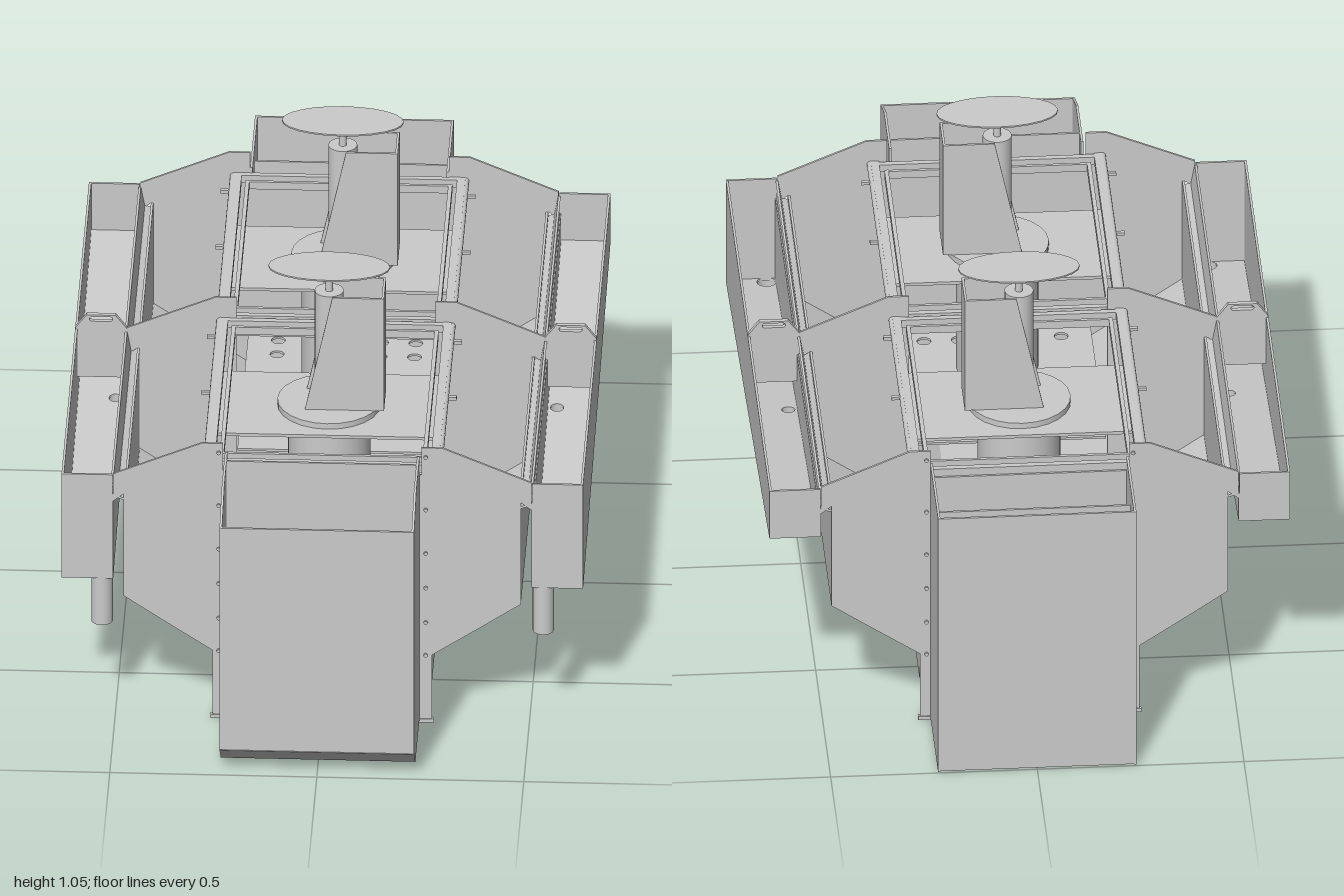
import * as THREE from 'three';

const mat = new THREE.MeshStandardMaterial({ color: 0xcccccc, side: THREE.DoubleSide });
const T = 0.006; // sheet thickness

function add(parent, name, geo, x = 0, y = 0, z = 0) {
  const m = new THREE.Mesh(geo, mat);
  m.name = name;
  m.position.set(x, y, z);
  parent.add(m);
  return m;
}
const box = (p, n, w, h, d, x, y, z) => add(p, n, new THREE.BoxGeometry(w, h, d), x, y, z);
const rod = (p, n, r, y0, y1, x, z, open = false) =>
  add(p, n, new THREE.CylinderGeometry(r, r, y1 - y0, 24, 1, open), x, (y0 + y1) / 2, z);

const shapeOf = (pts) => new THREE.Shape(pts.map(([a, b]) => new THREE.Vector2(a, b)));
const mirrored = (half) => [...half, ...half.slice().reverse().map(([x, y]) => [-x, y])];
const disc = (x, y, r) => new THREE.Path().absarc(x, y, r, 0, Math.PI * 2, true);

// Flat plate facing z, centred on its thickness
function plateZ(shape, t = T) {
  return new THREE.ExtrudeGeometry(shape, { depth: t, bevelEnabled: false, curveSegments: 10 }).translate(0, 0, -t / 2);
}
// Flat plate facing x, outlined by [z, y] points
const plateX = (pts) => plateZ(shapeOf(pts)).rotateY(-Math.PI / 2);
// Flat plate facing up, shape drawn in [x, -z]
const plateY = (shape) => plateZ(shape).rotateX(-Math.PI / 2);

// Folded sheet running along z, following [x, y] points
function foldZ(parent, name, path, z0, z1) {
  for (let i = 0; i + 1 < path.length; i++) {
    const [a, b] = path[i], [c, d] = path[i + 1];
    const m = box(parent, name, Math.hypot(c - a, d - b), T, z1 - z0, (a + c) / 2, (b + d) / 2, (z0 + z1) / 2);
    m.rotation.z = Math.atan2(d - b, c - a);
  }
}
// Folded sheet running across x, following [z, y] points
function foldX(parent, name, path, w) {
  for (let i = 0; i + 1 < path.length; i++) {
    const [a, b] = path[i], [c, d] = path[i + 1];
    const m = box(parent, name, w, T, Math.hypot(c - a, d - b), 0, (b + d) / 2, (a + c) / 2);
    m.rotation.x = -Math.atan2(d - b, c - a);
  }
}

const Z0 = -0.745, ZM = -0.02, Z1 = 0.71;

function buildTank() {
  const g = new THREE.Group();
  g.name = 'tank';
  const upper = [[0.24, 0.68], [0.24, 0.755], [0.29, 0.755], [0.505, 0.665], [0.505, 0.59], [0.48, 0.61], [0.48, 0.33]];
  // End plates with legs
  for (const z of [Z0, Z1])
    add(g, 'endPlate', plateZ(shapeOf(mirrored([...upper, [0.38, 0.262], [0.265, 0.185], [0.265, 0.005]]))), 0, 0, z);
  // Middle frame, open between the two cells
  const mid = shapeOf(mirrored([...upper, [0.14, 0.085]]));
  mid.holes.push(shapeOf(mirrored([[0.24, 0.65], [0.24, 0.24], [0.12, 0.15]])));
  add(g, 'middleFrame', plateZ(mid), 0, 0, ZM);
  // Hull: walls, sloping bottom and flat floor
  foldZ(g, 'hull', mirrored([[0.477, 0.61], [0.477, 0.333], [0.14, 0.105]]), Z0, Z1);
  for (const s of [1, -1]) {
    foldZ(g, 'overflowLip', [[s * 0.48, 0.595], [s * 0.508, 0.605]], Z0, Z1);
    // Support skirts under each cell
    for (const zc of [0.348, -0.38])
      add(g, 'skirt', plateX([[zc - 0.34, 0.18], [zc + 0.34, 0.18], [zc + 0.315, 0.085], [zc - 0.315, 0.085]]), s * 0.26);
    // Flange bolts
    for (const z of [Z0 - 0.004, Z1 + 0.004])
      for (const y of [0.73, 0.585, 0.465, 0.37, 0.275, 0.185])
        add(g, 'bolt', new THREE.CylinderGeometry(0.005, 0.005, 0.008, 8).rotateX(Math.PI / 2), s * 0.25, y, z);
  }
  for (const z of [Z0, Z1]) box(g, 'foot', 0.54, 0.01, 0.012, 0, 0.005, z);
  return g;
}

function buildLaunder(s) {
  const g = new THREE.Group();
  g.name = s > 0 ? 'leftLaunder' : 'rightLaunder';
  const floorY = (z) => 0.378 + (0.71 - z) * 0.104;
  const side = [[-0.75, 0.66], [0.71, 0.66], [0.71, 0.375], [-0.75, 0.527]];
  add(g, 'outerWall', plateX(side), s * 0.627);
  add(g, 'innerWall', plateX(side.map(([z, y]) => [z, Math.min(y, 0.605)])), s * 0.508);
  // Sloping floor with drain openings
  const floor = shapeOf([[-0.06, -0.71], [0.06, -0.71], [0.06, 0.75], [-0.06, 0.75]]);
  const drains = [[0.683, 0.026, 0.245], [-0.04, 0.018, 0.315]];
  for (const [z, r] of drains) floor.holes.push(disc(-s * 0.034, -z, r - 0.002));
  const floorGeo = plateY(floor);
  const p = floorGeo.attributes.position;
  for (let i = 0; i < p.count; i++) p.setY(i, p.getY(i) + floorY(p.getZ(i)));
  floorGeo.computeVertexNormals();
  add(g, 'launderFloor', floorGeo, s * 0.567);
  for (const [z, r, y] of drains) rod(g, 'drainPipe', r, y, floorY(z), s * 0.533, z, true);
  box(g, 'frontCap', 0.12, 0.285, T, s * 0.567, 0.518, 0.707);
  box(g, 'backCap', 0.12, 0.13, T, s * 0.567, 0.595, -0.747);
  // Weir boards above the inner wall
  for (const [a, b] of [[-0.74, -0.025], [-0.015, 0.705]])
    foldZ(g, 'weirBoard', [[s * 0.497, 0.6], [s * 0.507, 0.655]], a, b);
  // Lifting lug with a slot
  const lug = shapeOf([[-0.062, 0.53], [0.062, 0.53], [0.062, 0.665], [0.035, 0.7], [-0.035, 0.7], [-0.062, 0.665]]);
  const slot = new THREE.Path();
  slot.absarc(0.022, 0.689, 0.006, -Math.PI / 2, Math.PI / 2, false);
  slot.absarc(-0.022, 0.689, 0.006, Math.PI / 2, Math.PI * 1.5, false);
  lug.holes.push(slot);
  add(g, 'liftingLug', plateZ(lug, 0.012), s * 0.567, 0, ZM);
  return g;
}

function buildEndBox(name, sidePts, wallPath, w, partZ, partTop, holeZ) {
  const g = new THREE.Group();
  g.name = name;
  for (const s of [1, -1]) add(g, 'boxSide', plateX(sidePts), s * (w / 2 - T / 2));
  foldX(g, 'boxWall', wallPath, w);
  box(g, 'partition', w - 2 * T, partTop - 0.26, T, 0, (partTop + 0.26) / 2, partZ);
  // Inner shelf with two valve openings
  const zs = sidePts.map((p) => p[0]);
  const lo = Math.min(...zs), hi = Math.max(...zs), x = w / 2 - T;
  const shelf = shapeOf([[-x, -lo], [-x, -hi], [x, -hi], [x, -lo]]);
  for (const s of [1, -1]) shelf.holes.push(disc(s * 0.12, -holeZ, 0.05));
  add(g, 'valveShelf', plateY(shelf), 0, 0.26, 0);
  return g;
}

function buildAgitator(zc) {
  const g = new THREE.Group();
  g.name = 'agitator';
  g.position.z = zc;
  // Rectangular top frame
  for (const s of [1, -1]) {
    box(g, 'frameRail', 0.02, 0.02, 0.725, s * 0.27, 0.69, 0);
    box(g, 'frameEnd', 0.54, 0.02, 0.015, 0, 0.69, s * 0.35);
    for (const k of [-0.28, 0, 0.28]) box(g, 'railBracket', 0.03, 0.008, 0.01, s * 0.293, 0.69, k);
    box(g, 'frameLedge', 0.01, 0.02, 0.64, s * 0.245, 0.69, 0);
    box(g, 'frameLedge', 0.48, 0.02, 0.008, 0, 0.69, s * 0.315);
  }
  // Mounting plate, flange and standpipe down to the rotor
  box(g, 'mountingPlate', 0.55, 0.008, 0.31, 0, 0.661, 0);
  rod(g, 'flange', 0.125, 0.665, 0.68, 0, 0);
  rod(g, 'standpipe', 0.1, 0.33, 0.66, 0, 0, true);
  // Perforated baffle
  const sheet = shapeOf([[-0.24, -0.32], [0.24, -0.32], [0.24, 0.32], [-0.24, 0.32]]);
  for (const i of [-2, -1, 0, 1, 2])
    for (const z of [-0.225, -0.155, 0.155, 0.225]) sheet.holes.push(disc(i * 0.083, z, 0.017));
  add(g, 'perforatedBaffle', plateY(sheet), 0, 0.31, 0);
  // Drive tower: open channel around the bearing column
  const cheek = [[-0.056, 0.68], [0.135, 0.68], [0.135, 0.988], [0.01, 0.988]];
  for (const s of [1, -1]) add(g, 'towerCheek', plateZ(shapeOf(cheek)), 0, 0, s * 0.052);
  box(g, 'towerBack', T, 0.308, 0.11, 0.132, 0.834, 0);
  rod(g, 'bearingColumn', 0.035, 0.68, 0.98, 0, 0);
  rod(g, 'shaft', 0.009, 0.98, 1.043, 0, 0);
  // Oval pulley
  const pulley = rod(g, 'pulley', 0.147, 1.042, 1.046, 0, 0);
  pulley.scale.z = 0.49;
  return g;
}

export function createModel() {
  const model = new THREE.Group();
  model.name = 'flotationCells';
  model.add(buildTank(), buildLaunder(1), buildLaunder(-1));
  model.add(buildEndBox('feedBox',
    [[0.71, 0.73], [0.88, 0.73], [1, 0.68], [1, 0.07], [0.93, 0.01], [0.71, 0.01]],
    [[0.997, 0.68], [0.997, 0.07], [0.93, 0.013], [0.71, 0.013]], 0.47, 0.752, 0.73, 0.875));
  model.add(buildEndBox('dischargeBox',
    [[-0.74, 0.715], [-1, 0.715], [-1, 0.003], [-0.74, 0.003]],
    [[-0.997, 0.715], [-0.997, 0.006], [-0.74, 0.006]], 0.48, -0.875, 0.66, -0.81));
  for (const zc of [0.342, -0.385]) model.add(buildAgitator(zc));
  // Long tie bars beside the frames
  for (const s of [1, -1])
    add(model, 'tieBar', new THREE.CylinderGeometry(0.009, 0.009, 1.45, 12).rotateX(Math.PI / 2), s * 0.28, 0.69, -0.017);
  // Valve ring in the feed box
  const ring = [[0.038, 0], [0.047, 0], [0.047, 0.14], [0.038, 0.14], [0.038, 0]].map(([x, y]) => new THREE.Vector2(x, y));
  add(model, 'valveRing', new THREE.LatheGeometry(ring, 24), 0.118, 0.2, 0.875);
  return model;
}
